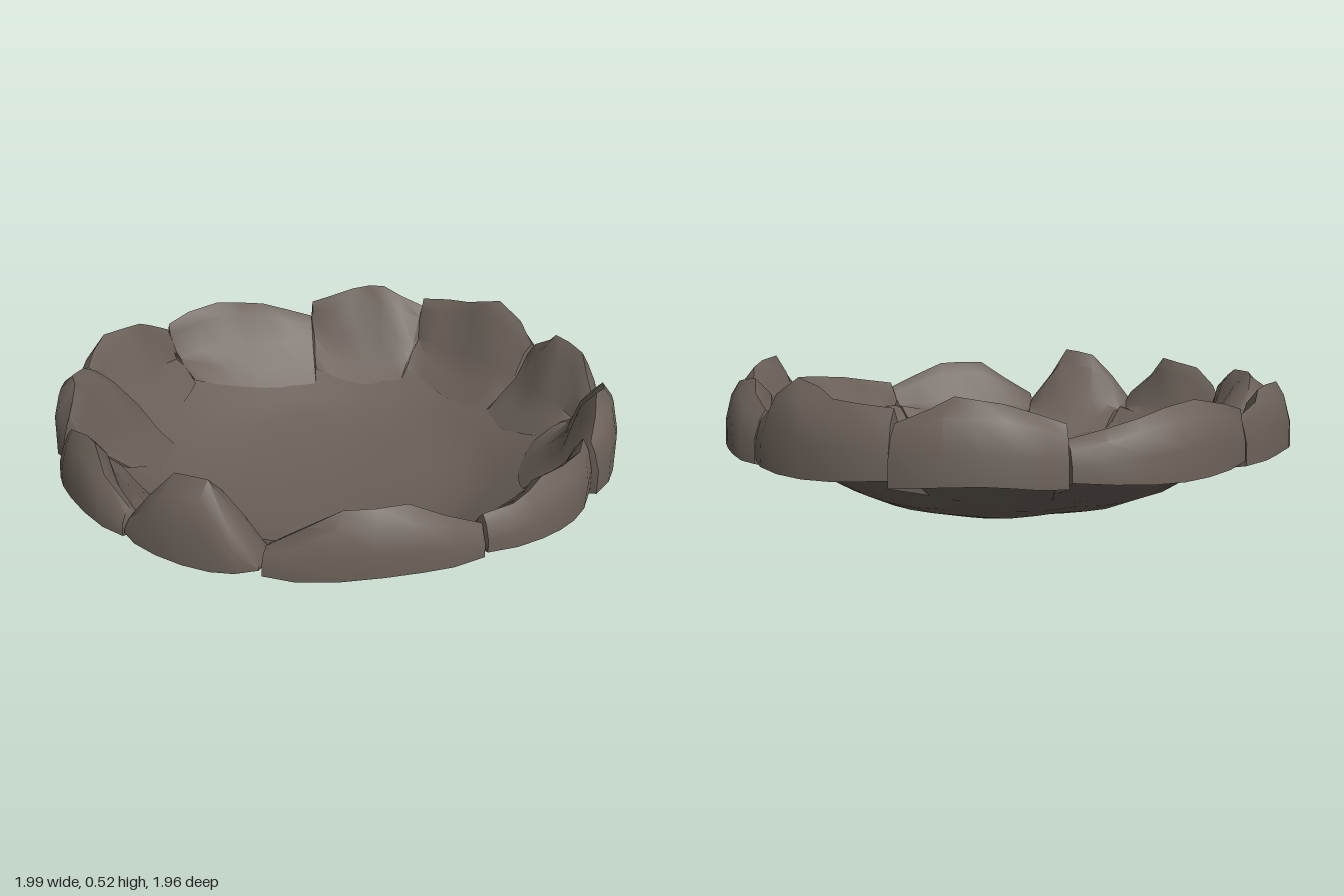
import * as THREE from 'three';
import { mergeVertices, toCreasedNormals } from 'three/addons/utils/BufferGeometryUtils.js';

const { lerp, degToRad } = THREE.MathUtils;
const BASE = 0.25;
const STEPS = 6;

// Profile of the dish: radius, height
const PROFILE = [[0, 0.006], [0.2, 0.022], [0.38, 0.038], [0.5, 0.066], [0.6, 0.107], [0.8, 0.233], [0.85, 0.255]];

// Rim stones in order around the rim: start angle in degrees, outer and inner
// radius at both ends, crest height at four even steps
const STONES = [
  { from: -14, outer: [0.99, 1], inner: [0.83, 0.83], top: [0.36, 0.48, 0.51, 0.42] },
  { from: 15, outer: [0.98, 0.985], inner: [0.85, 0.86], top: [0.43, 0.4, 0.38, 0.37] },
  { from: 48, outer: [0.985, 0.985], inner: [0.87, 0.81], top: [0.35, 0.43, 0.43, 0.31] },
  { from: 88, outer: [0.98, 0.99], inner: [0.8, 0.83], top: [0.29, 0.49, 0.47, 0.31] },
  { from: 116, outer: [0.99, 0.975], inner: [0.87, 0.86], top: [0.33, 0.47, 0.44, 0.33] },
  { from: 149, outer: [0.97, 0.995], inner: [0.83, 0.69], top: [0.42, 0.46, 0.45, 0.38] },
  { from: 177, outer: [1.01, 0.955], inner: [0.84, 0.85], top: [0.41, 0.46, 0.45, 0.4] },
  { from: 208, outer: [0.955, 0.955], inner: [0.86, 0.75], top: [0.42, 0.45, 0.41, 0.37] },
  { from: 250, outer: [0.96, 1], inner: [0.81, 0.79], top: [0.42, 0.46, 0.48, 0.42] },
  { from: 281, outer: [0.975, 0.97], inner: [0.84, 0.79], top: [0.46, 0.46, 0.51, 0.41] },
  { from: 318, outer: [0.97, 0.995], inner: [0.79, 0.86], top: [0.41, 0.48, 0.46, 0.38] },
];

function dishHeight(r) {
  const i = PROFILE.findIndex(p => p[0] >= r);
  const [r0, y0] = PROFILE[i - 1], [r1, y1] = PROFILE[i];
  return lerp(y0, y1, (r - r0) / (r1 - r0));
}

// Radial cross-section of a stone at t from 0 to 1, open below: radius, height
function section({ outer, inner, top }, t, seed) {
  const swell = Math.sin(Math.PI * t);
  const wobble = 0.07 * Math.sin(seed * 2.3 + t * 11);
  const ro = lerp(...outer, t) - 0.025 * (2 * t - 1) ** 4;
  const ri = lerp(...inner, t) - 0.05 * swell;
  const k = Math.min(2, Math.floor(t * 3 + 1e-6));
  const h = lerp(top[k], top[k + 1], t * 3 - k) + 0.02 * swell;
  const w = ro - ri, rise = h - BASE;
  return [
    [ro, BASE + 0.01 * Math.sin(seed * 3 + t * 5)],
    [ro - 0.002, BASE + rise * 0.42],
    [ro - 0.012 - w * 0.06, BASE + rise * 0.8],
    [ro - w * (0.33 + wobble), h],
    [ro - w * (0.56 + wobble), h - rise * 0.22],
    [ri + w * 0.18, BASE + rise * 0.2],
    [ri - 0.03, dishHeight(ri - 0.03) + 0.025],
    [ri - 0.1, dishHeight(ri - 0.1) + 0.004],
  ];
}

// Sweeps the changing cross-section around the rim and closes both ends
function stoneGeometry(stone, to, seed) {
  const positions = [], index = [];
  const put = (r, y, degrees) => {
    const a = degToRad(degrees);
    positions.push(r * Math.cos(a), y, r * Math.sin(a));
  };
  const rings = Array.from({ length: STEPS + 1 }, (_, i) => section(stone, i / STEPS, seed));
  const n = rings[0].length;
  rings.forEach((ring, i) => ring.forEach(([r, y], j) => {
    const skew = i % STEPS ? 0.9 * Math.sin(j * 1.4 + seed + i) : 0;
    put(r, y, lerp(stone.from, to, i / STEPS) + skew);
  }));
  for (let i = 0; i < STEPS; i++) {
    for (let j = 0; j < n - 1; j++) {
      const a = i * n + j, b = a + 1;
      index.push(a, b, b + n, a, b + n, a + n);
    }
  }
  // Slightly bulging end caps
  for (const [i, angle] of [[0, stone.from - 0.8], [STEPS, to + 0.8]]) {
    const centre = positions.length / 3;
    const mean = k => rings[i].reduce((s, p) => s + p[k], 0) / n;
    put(mean(0), mean(1), angle);
    for (let j = 0; j < n; j++) {
      const a = i * n + j, b = i * n + (j + 1) % n;
      index.push(centre, i ? a : b, i ? b : a);
    }
  }
  const g = new THREE.BufferGeometry();
  g.setAttribute('position', new THREE.Float32BufferAttribute(positions, 3));
  g.setIndex(index);
  return toCreasedNormals(g, 0.85);
}

// Thin dish with a gently uneven surface
function dishGeometry() {
  let g = new THREE.LatheGeometry(PROFILE.map(([r, y]) => new THREE.Vector2(r, y)), 36);
  g.deleteAttribute('uv');
  g.deleteAttribute('normal');
  const p = g.attributes.position;
  for (let i = 0; i < p.count; i++) {
    const x = p.getX(i), z = p.getZ(i), r = Math.hypot(x, z);
    const bump = 0.005 * Math.sin(x * 9 + 1) * Math.cos(z * 8) + 0.004 * Math.sin(x * 17 - z * 13);
    p.setY(i, p.getY(i) + bump * Math.min(1, r * 2));
  }
  g = mergeVertices(g, 1e-4);
  g.computeVertexNormals();
  return g;
}

export function createModel() {
  const group = new THREE.Group();
  group.name = 'stoneBowl';
  const stone = new THREE.MeshStandardMaterial({ color: 0x6a6058, side: THREE.DoubleSide });
  stone.name = 'brown grey stone';

  const dish = new THREE.Mesh(dishGeometry(), stone);
  dish.name = 'dish';
  group.add(dish);

  const rim = new THREE.Group();
  rim.name = 'rim';
  STONES.forEach((spec, i) => {
    // Each stone stops just short of the next one
    const next = i + 1 < STONES.length ? STONES[i + 1].from : STONES[0].from + 360;
    const mesh = new THREE.Mesh(stoneGeometry(spec, next - 0.6, i), stone);
    mesh.name = `rimStone${i + 1}`;
    rim.add(mesh);
  });
  group.add(rim);
  return group;
}
